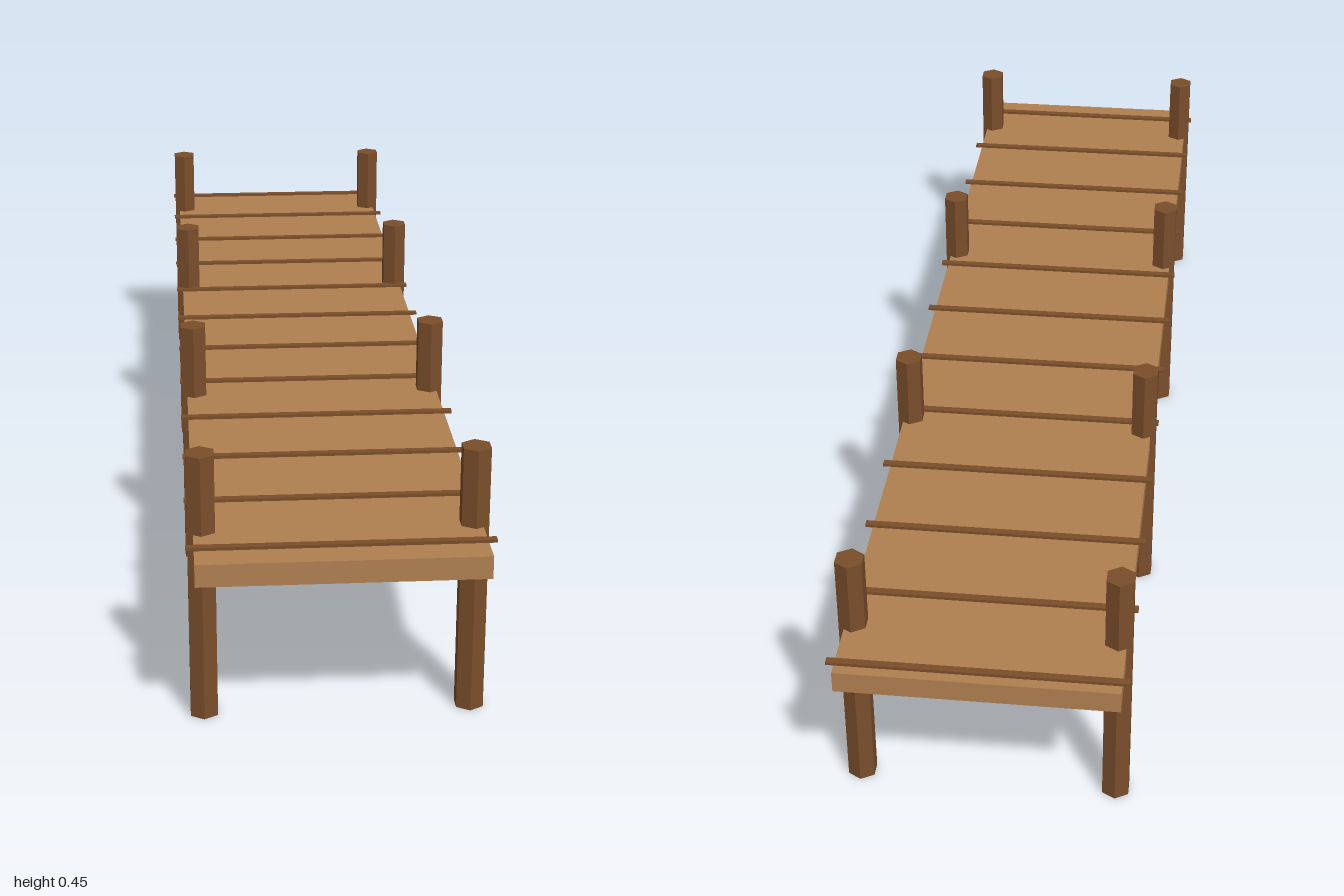
import * as THREE from 'three';

export function createModel() {
  const model = new THREE.Group();
  model.name = 'dock';

  const plankWood = new THREE.MeshStandardMaterial({ color: 0xb08050 });
  plankWood.name = 'plank wood';
  const darkWood = new THREE.MeshStandardMaterial({ color: 0x7a4e2a, flatShading: true });
  darkWood.name = 'dark wood';

  const add = (name, geometry, material, x, y, z) => {
    const mesh = new THREE.Mesh(geometry, material);
    mesh.name = name;
    mesh.position.set(x, y, z);
    model.add(mesh);
  };

  // Walking deck
  add('deck', new THREE.BoxGeometry(0.45, 0.0375, 2), plankWood, 0, 0.30125, 0);

  // Hexagonal support posts in pairs along both edges
  const postGeometry = new THREE.CylinderGeometry(0.025, 0.025, 0.45, 6);
  for (const z of [-0.878, -0.3, 0.3, 0.878]) {
    for (const side of [-1, 1]) {
      add('post', postGeometry, darkWood, side * 0.2125, 0.225, z);
    }
  }

  // Thin cross slats, slightly wider than the deck
  const slatGeometry = new THREE.BoxGeometry(0.475, 0.005, 0.0125);
  for (let i = 0; i < 12; i++) {
    add('slat', slatGeometry, darkWood, 0, 0.3232, -0.977 + i * 0.175);
  }

  return model;
}
